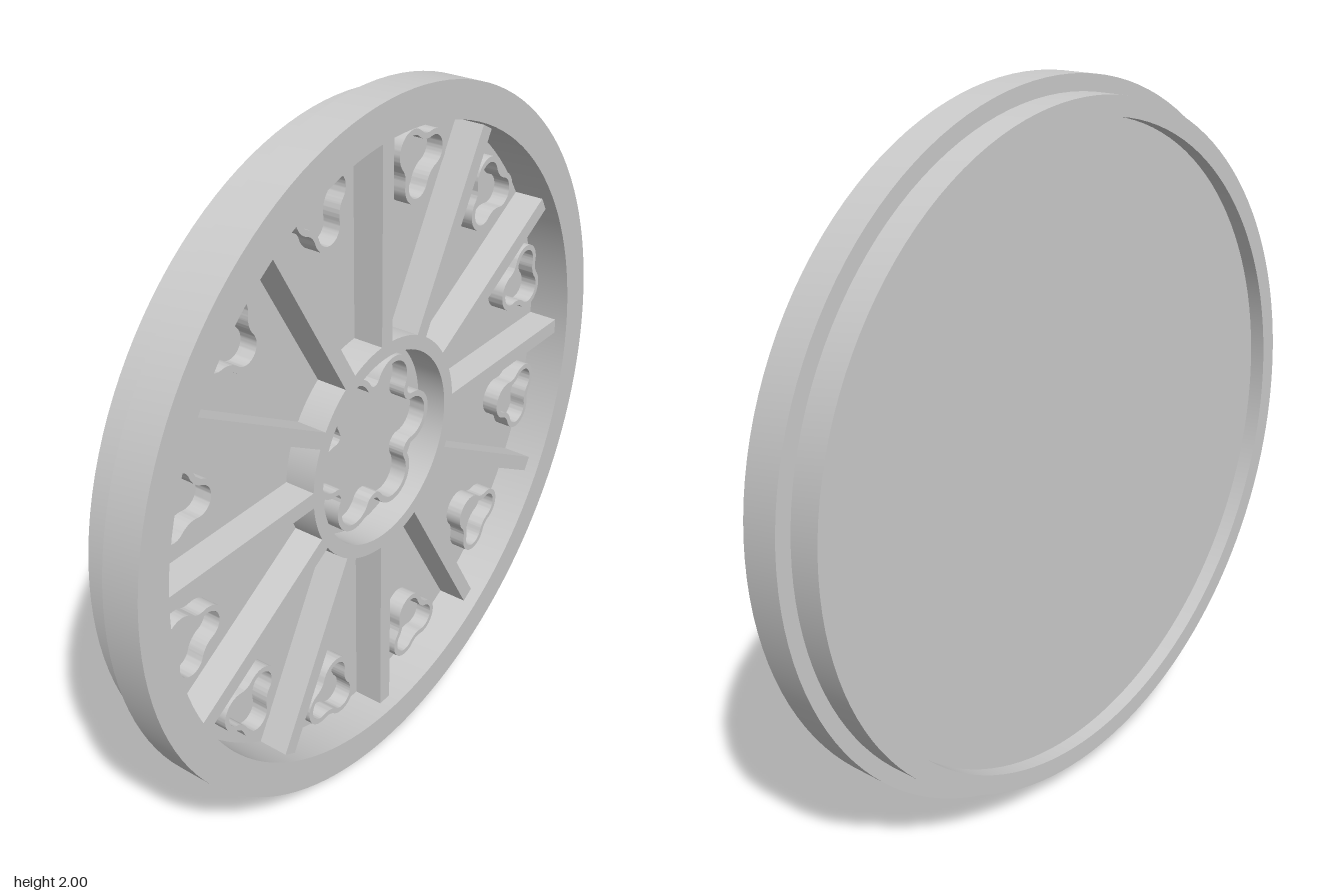
import * as THREE from 'three';
import { toCreasedNormals } from 'three/addons/utils/BufferGeometryUtils.js';

const PANE_BACK = -0.055, PANE_FRONT = -0.03;
const material = new THREE.MeshStandardMaterial({ color: 0xcccccc });

function addMesh(parent, name, geometry) {
  const mesh = new THREE.Mesh(geometry, material);
  mesh.name = name;
  parent.add(mesh);
  return mesh;
}

// Ring turned around the z axis from a closed [radius, z] profile
function turned(profile, segments) {
  const points = profile.map(([r, z]) => new THREE.Vector2(r, z));
  points.push(points[0].clone());
  const geometry = new THREE.LatheGeometry(points, segments);
  geometry.rotateX(Math.PI / 2);
  return toCreasedNormals(geometry, 0.6);
}

// Foil outline: n round lobes joined by tangent fillets, shrunk by inset
function foil(path, n, distance, lobe, fillet, inset) {
  const half = Math.PI / n;
  const reach = lobe + fillet;
  const e = distance * Math.cos(half) + Math.sqrt(reach ** 2 - (distance * Math.sin(half)) ** 2);
  const beta = Math.atan2(e * Math.sin(half), e * Math.cos(half) - distance);
  for (let k = 0; k < n; k++) {
    const a = 2 * half * k, f = a + half;
    path.absarc(distance * Math.cos(a), distance * Math.sin(a), lobe - inset, a - beta, a + beta, false);
    path.absarc(e * Math.cos(f), e * Math.sin(f), fillet + inset,
      a + beta + Math.PI, a + 2 * half - beta + Math.PI, true);
  }
  return path;
}

// Thin-walled foil standing on the pane
function foilRing(n, distance, lobe, fillet, wall, top) {
  const shape = foil(new THREE.Shape(), n, distance, lobe, fillet, 0);
  shape.holes.push(foil(new THREE.Path(), n, distance, lobe, fillet, wall));
  const geometry = new THREE.ExtrudeGeometry(shape, {
    depth: top - PANE_FRONT, bevelEnabled: false, curveSegments: 14,
  });
  geometry.translate(0, 0, PANE_FRONT);
  return toCreasedNormals(geometry, 0.6);
}

export function createModel() {
  const model = new THREE.Group();
  model.name = 'roseWindow';
  const wheel = new THREE.Group();
  wheel.name = 'wheel';
  wheel.position.y = 1;
  model.add(wheel);

  // Stepped outer frame
  addMesh(wheel, 'outerFrame', turned([
    [0.9, -0.1], [0.955, -0.1], [0.955, -0.01], [1, -0.01], [1, 0.1], [0.9, 0.1],
  ], 128));

  // Pane closing the opening
  const pane = new THREE.CylinderGeometry(0.902, 0.902, PANE_FRONT - PANE_BACK, 128);
  pane.rotateX(Math.PI / 2);
  addMesh(wheel, 'pane', pane).position.z = (PANE_FRONT + PANE_BACK) / 2;

  // Hub ring and six-lobed rosette
  addMesh(wheel, 'hubRing', turned([
    [0.28, PANE_FRONT], [0.32, PANE_FRONT], [0.32, 0.06], [0.28, 0.06],
  ], 96));
  addMesh(wheel, 'rosette', foilRing(6, 0.175, 0.08, 0.02, 0.017, 0.02));

  // Twelve spokes with a trefoil between each pair
  const inner = 0.315, outer = 0.903;
  const spoke = new THREE.BoxGeometry(outer - inner, 0.046, 0.06 - PANE_FRONT);
  spoke.translate((inner + outer) / 2, 0, (0.06 + PANE_FRONT) / 2);
  const trefoil = foilRing(3, 0.055, 0.058, 0.05, 0.016, 0.02);
  trefoil.rotateZ(Math.PI);
  trefoil.translate(0.776, 0, 0);
  for (let i = 0; i < 12; i++) {
    const angle = (i * Math.PI) / 6;
    addMesh(wheel, 'spoke', spoke).rotation.z = angle;
    addMesh(wheel, 'trefoil', trefoil).rotation.z = angle + Math.PI / 12;
  }
  return model;
}
